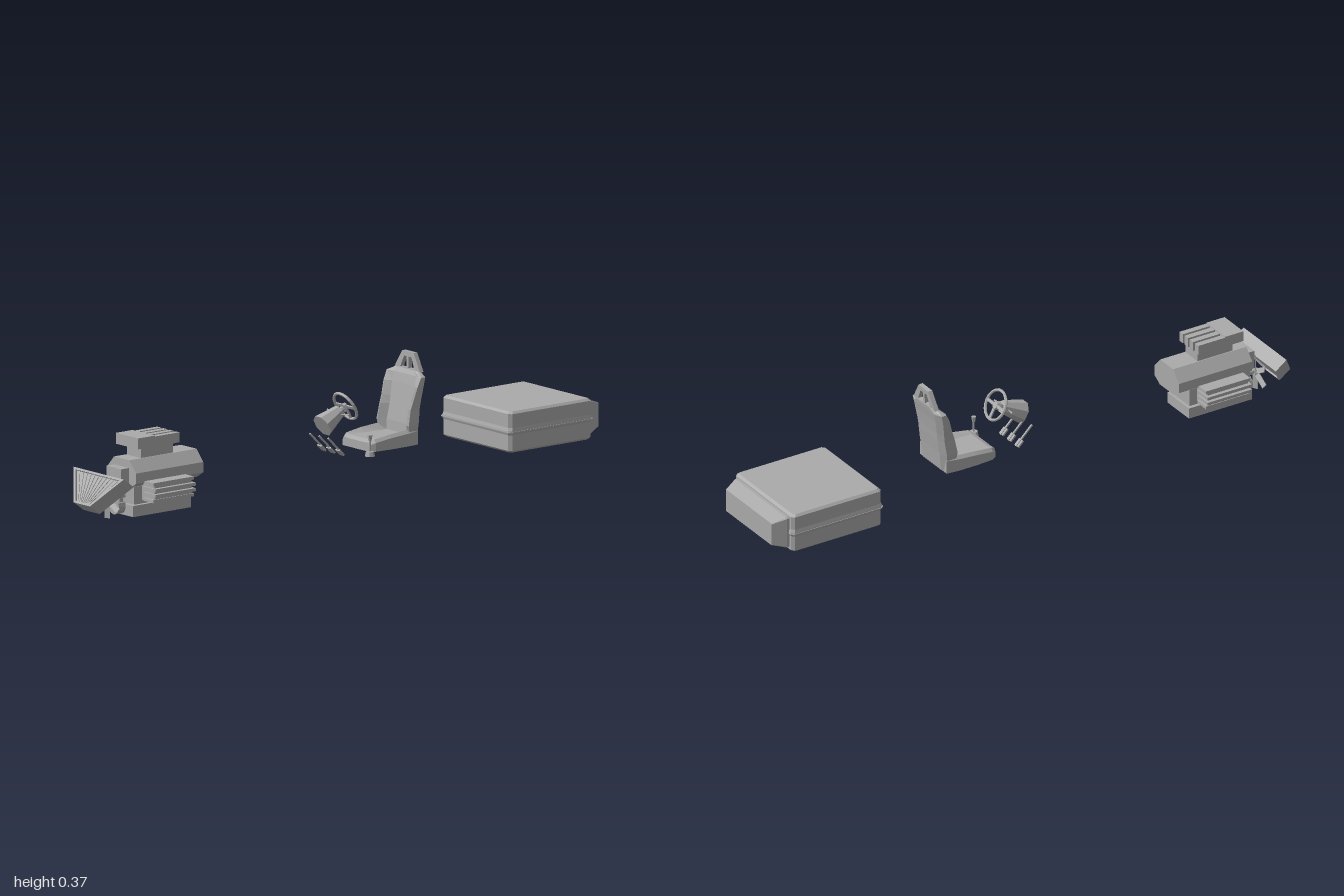
import * as THREE from 'three';

const grey = new THREE.MeshStandardMaterial({ color: 0xaaaaaa });
grey.name = 'plain grey';

function add(parent, name, geo, x = 0, y = 0, z = 0) {
  geo = geo.index ? geo.toNonIndexed() : geo;
  geo.computeVertexNormals();
  const m = new THREE.Mesh(geo, grey);
  m.name = name;
  m.position.set(x, y, z);
  parent.add(m);
  return m;
}

// box given by its limits
function box(parent, name, x0, x1, y0, y1, z0, z1) {
  return add(parent, name, new THREE.BoxGeometry(x1 - x0, y1 - y0, z1 - z0), (x0 + x1) / 2, (y0 + y1) / 2, (z0 + z1) / 2);
}

// skin over rings of [x, y, z] points, closed at both ends, turned outward
function loft(rings) {
  const n = rings[0].length, pos = rings.flat(2), idx = [];
  rings.forEach((r, k) => {
    if (k < rings.length - 1) for (let i = 0; i < n; i++) {
      const a = k * n + i, b = k * n + (i + 1) % n;
      idx.push(a, b, b + n, a, b + n, a + n);
    }
  });
  [0, rings.length - 1].forEach((k) => {
    const c = pos.length / 3;
    for (let j = 0; j < 3; j++) pos.push(rings[k].reduce((s, p) => s + p[j], 0) / n);
    for (let i = 0; i < n; i++) {
      const a = k * n + i, b = k * n + (i + 1) % n;
      if (k) idx.push(c, a, b); else idx.push(c, b, a);
    }
  });
  const P = (i) => new THREE.Vector3().fromArray(pos, i * 3);
  let vol = 0;
  for (let i = 0; i < idx.length; i += 3) vol += P(idx[i]).dot(P(idx[i + 1]).cross(P(idx[i + 2])));
  if (vol < 0) idx.reverse();
  const g = new THREE.BufferGeometry();
  g.setAttribute('position', new THREE.Float32BufferAttribute(pos, 3));
  g.setIndex(idx);
  return g;
}

// rectangle with cut corners in the yz plane
function rectRing(x, y0, y1, w, c) {
  return [[w - c, y0], [w, y0 + c], [w, y1 - c], [w - c, y1], [c - w, y1], [-w, y1 - c], [-w, y0 + c], [c - w, y0]]
    .map(([z, y]) => [x, y, z]);
}

function makeTank() {
  const g = new THREE.Group();
  g.name = 'tank';
  const slab = (y, d, c) => {
    const x0 = 0.607 + d, x1 = 0.948 - d, w = 0.173 - d;
    return [[x0 + c, w], [x1 - c, w], [x1, w - c], [x1, c - w], [x1 - c, -w], [x0 + c, -w], [x0, c - w], [x0, w - c]]
      .map(([x, z]) => [x, y, z]);
  };
  add(g, 'tankBody', loft([slab(0.031, 0.011, 0.008), slab(0.038, 0.003, 0.01), slab(0.088, 0.003, 0.01),
    slab(0.096, 0, 0.01), slab(0.101, 0, 0.01), slab(0.112, 0.003, 0.01), slab(0.156, 0.003, 0.01), slab(0.163, 0.011, 0.008)]));
  add(g, 'tankSeam', loft([slab(0.096, -0.002, 0.01), slab(0.099, -0.002, 0.01)]));
  add(g, 'tankEnd', loft([rectRing(0.94, 0.045, 0.152, 0.153, 0.004), rectRing(0.955, 0.045, 0.152, 0.153, 0.004),
    rectRing(1, 0.059, 0.136, 0.134, 0.002)]));
  return g;
}

function makeSeat() {
  const g = new THREE.Group();
  g.name = 'seat';
  // cushion with raised side bolsters
  const cushion = (x, mid, side, w) => [[-w, 0.086], [-w, side - 0.01], [-w * 0.88, side], [-w * 0.6, mid],
    [w * 0.6, mid], [w * 0.88, side], [w, side - 0.01], [w, 0.086]].map(([z, y]) => [x, y, z]);
  add(g, 'seatCushion', loft([cushion(0.123, 0.113, 0.115, 0.066), cushion(0.14, 0.12, 0.124, 0.078),
    cushion(0.2, 0.119, 0.132, 0.082), cushion(0.27, 0.118, 0.137, 0.082), cushion(0.312, 0.118, 0.14, 0.078)]));
  // backrest sections: height, rear x, front x, bolster reach, half width
  const back = [[0.09, 0.317, 0.285, 0.004, 0.074], [0.15, 0.324, 0.29, 0.022, 0.08], [0.2, 0.331, 0.3, 0.022, 0.077],
    [0.225, 0.334, 0.305, 0.018, 0.079], [0.27, 0.341, 0.314, 0.014, 0.084], [0.3, 0.347, 0.322, 0.008, 0.085], [0.314, 0.349, 0.33, 0, 0.058]];
  add(g, 'seatBack', loft(back.map(([y, r, f, b, w]) => [[r, 0.7 * w], [r - 0.012, w], [f - b + 0.004, w], [f - b, 0.9 * w], [f, 0.64 * w],
    [f, -0.64 * w], [f - b, -0.9 * w], [f - b + 0.004, -w], [r - 0.012, -w], [r, -0.7 * w]].map(([x, z]) => [x, y, z]))));
  // headrest with two openings
  const poly = (C, pts) => new C(pts.map((p) => new THREE.Vector2(...p)));
  const s = poly(THREE.Shape, [[-0.063, 0], [0.063, 0], [0.052, 0.018], [0.028, 0.057], [-0.028, 0.057], [-0.052, 0.018]]);
  for (const k of [-1, 1]) s.holes.push(poly(THREE.Path, [[k * 0.005, 0.005], [k * 0.034, 0.005], [k * 0.018, 0.041], [k * 0.005, 0.041]]));
  const h = add(g, 'headrest', new THREE.ExtrudeGeometry(s, { depth: 0.015, bevelEnabled: false }), 0.331, 0.312, 0);
  h.rotation.set(0, Math.PI / 2, 0);
  h.rotation.order = 'ZYX';
  h.rotation.z = -0.06;
  return g;
}

function makeControls() {
  const g = new THREE.Group();
  g.name = 'controls';
  // wheel and column along their tilted axis
  const steer = new THREE.Group();
  steer.name = 'steering';
  steer.position.set(0.08, 0.228, 0);
  steer.rotation.z = -1.08;
  g.add(steer);
  add(steer, 'wheelRim', new THREE.TorusGeometry(0.049, 0.005, 6, 20).rotateX(Math.PI / 2));
  add(steer, 'wheelHub', new THREE.CylinderGeometry(0.012, 0.016, 0.014, 8), 0, -0.004, 0);
  for (const a of [0, Math.PI, Math.PI / 2]) {
    const sp = add(steer, 'wheelSpoke', new THREE.BoxGeometry(0.01, 0.005, 0.042).translate(0, 0, 0.026));
    sp.rotation.y = a;
  }
  add(steer, 'steeringShaft', new THREE.CylinderGeometry(0.008, 0.008, 0.05, 6), 0, -0.022, 0);
  add(steer, 'columnCover', new THREE.CylinderGeometry(0.021, 0.038, 0.08, 8).rotateY(Math.PI / 8), 0, -0.067, 0);
  for (const k of [-1, 1]) {
    const st = add(steer, 'stalk', new THREE.CylinderGeometry(0.003, 0.002, 0.04, 5), 0, -0.037, k * 0.034);
    st.rotation.x = k * 1.35;
  }
  // pedals
  for (const z of [0.045, 0.0, -0.045]) {
    const p = new THREE.Group();
    p.name = 'pedal';
    p.position.set(0.003, 0.117, z);
    p.rotation.z = -0.78;
    g.add(p);
    add(p, 'pedalArm', new THREE.BoxGeometry(0.085, 0.005, 0.006));
    add(p, 'pedalPad', new THREE.BoxGeometry(0.026, 0.006, 0.022), 0.028, -0.003, 0);
  }
  // gear lever
  add(g, 'leverBase', new THREE.CylinderGeometry(0.013, 0.016, 0.015, 8), 0.1, 0.088, 0.097);
  add(g, 'leverStick', new THREE.CylinderGeometry(0.003, 0.003, 0.045, 6), 0.1, 0.115, 0.097);
  add(g, 'leverKnob', new THREE.CylinderGeometry(0.008, 0.005, 0.018, 6), 0.1, 0.139, 0.097);
  return g;
}

function makeEngine() {
  const g = new THREE.Group();
  g.name = 'engine';
  const housing = (x) => [[-0.04, 0.095], [-0.072, 0.115], [-0.072, 0.148], [-0.038, 0.185],
    [0.038, 0.185], [0.072, 0.148], [0.072, 0.115], [0.04, 0.095]].map(([z, y]) => [x, y, z]);
  add(g, 'housing', loft([housing(-0.83), housing(-0.557)]));
  box(g, 'block', -0.82, -0.61, 0.04, 0.1, -0.05, 0.05);
  box(g, 'oilPan', -0.835, -0.6, 0.007, 0.043, -0.063, 0.063);
  // ribbed cylinder heads on both sides
  for (const k of [-1, 1]) {
    const head = new THREE.Group();
    head.name = 'cylinderHead';
    g.add(head);
    add(head, 'headCore', new THREE.BoxGeometry(0.15, 0.06, 0.07), -0.713, 0.085, k * 0.077);
    for (let i = 0; i < 4; i++)
      add(head, 'headRib', new THREE.BoxGeometry(0.165, 0.01, i % 3 ? 0.06 : 0.05), -0.713, 0.06 + i * 0.018, k * (i % 3 ? 0.095 : 0.09));
  }
  // intake: pedestal, plenum and fins
  box(g, 'intakeBase', -0.78, -0.65, 0.18, 0.222, -0.035, 0.035);
  box(g, 'plenum', -0.808, -0.74, 0.22, 0.255, -0.055, 0.055);
  box(g, 'intakeFloor', -0.75, -0.65, 0.218, 0.228, -0.05, 0.05);
  for (let i = 0; i < 4; i++) box(g, 'intakeFin', -0.745, -0.64, 0.22, 0.252, -0.055 + i * 0.03, -0.035 + i * 0.03);
  // pulleys and shaft at the nose
  const disc = (name, r, l, x, y, z) => add(g, name, new THREE.CylinderGeometry(r, r, l, 12).rotateZ(Math.PI / 2), x, y, z);
  box(g, 'noseCover', -0.862, -0.825, 0.1, 0.16, -0.036, 0.036);
  disc('upperPulley', 0.022, 0.02, -0.85, 0.14, 0);
  disc('lowerPulley', 0.026, 0.028, -0.848, 0.035, 0);
  box(g, 'belt', -0.855, -0.84, 0.035, 0.14, -0.02, 0.02);
  disc('fanShaft', 0.007, 0.09, -0.85, 0.065, 0);
  // fan
  const fan = new THREE.Group();
  fan.name = 'fan';
  fan.position.set(-0.888, 0.062, 0);
  g.add(fan);
  add(fan, 'fanHub', new THREE.CylinderGeometry(0.012, 0.012, 0.014, 8).rotateZ(Math.PI / 2));
  for (let i = 0; i < 6; i++) {
    const arm = new THREE.Group();
    arm.name = 'fanArm';
    arm.rotation.x = i * Math.PI / 3;
    fan.add(arm);
    add(arm, 'fanBlade', new THREE.BoxGeometry(0.003, 0.052, 0.018).rotateY(0.5), 0, -0.035, 0);
  }
  return g;
}

function makeRadiator() {
  const g = new THREE.Group();
  g.name = 'radiator';
  g.position.set(-0.938, 0.09, 0);
  g.rotation.order = 'ZYX';
  g.rotation.set(0, Math.PI / 2, -0.64);
  // tapered frame, wide above and narrow below
  const trap = (C, t, b, h) => new C([[-t, h], [-b, -h], [b, -h], [t, h]].map((p) => new THREE.Vector2(...p)));
  const s = trap(THREE.Shape, 0.125, 0.04, 0.057);
  s.holes.push(trap(THREE.Path, 0.108, 0.036, 0.05));
  add(g, 'radiatorFrame', new THREE.ExtrudeGeometry(s, { depth: 0.05, bevelEnabled: false }), 0, 0, -0.025);
  add(g, 'radiatorCore', new THREE.ExtrudeGeometry(trap(THREE.Shape, 0.11, 0.037, 0.052), { depth: 0.024, bevelEnabled: false }), 0, 0, -0.018);
  // slats fanning out with the taper
  for (let i = -5; i <= 5; i++) {
    const r = add(g, 'radiatorSlat', new THREE.BoxGeometry(0.005, 0.1 * Math.hypot(1, i * 0.13), 0.04), i * 0.0125, 0, 0);
    r.rotation.z = -Math.atan(i * 0.13);
  }
  return g;
}

export function createModel() {
  const model = new THREE.Group();
  model.name = 'carParts';
  model.add(makeTank(), makeSeat(), makeControls(), makeEngine(), makeRadiator());
  return model;
}
